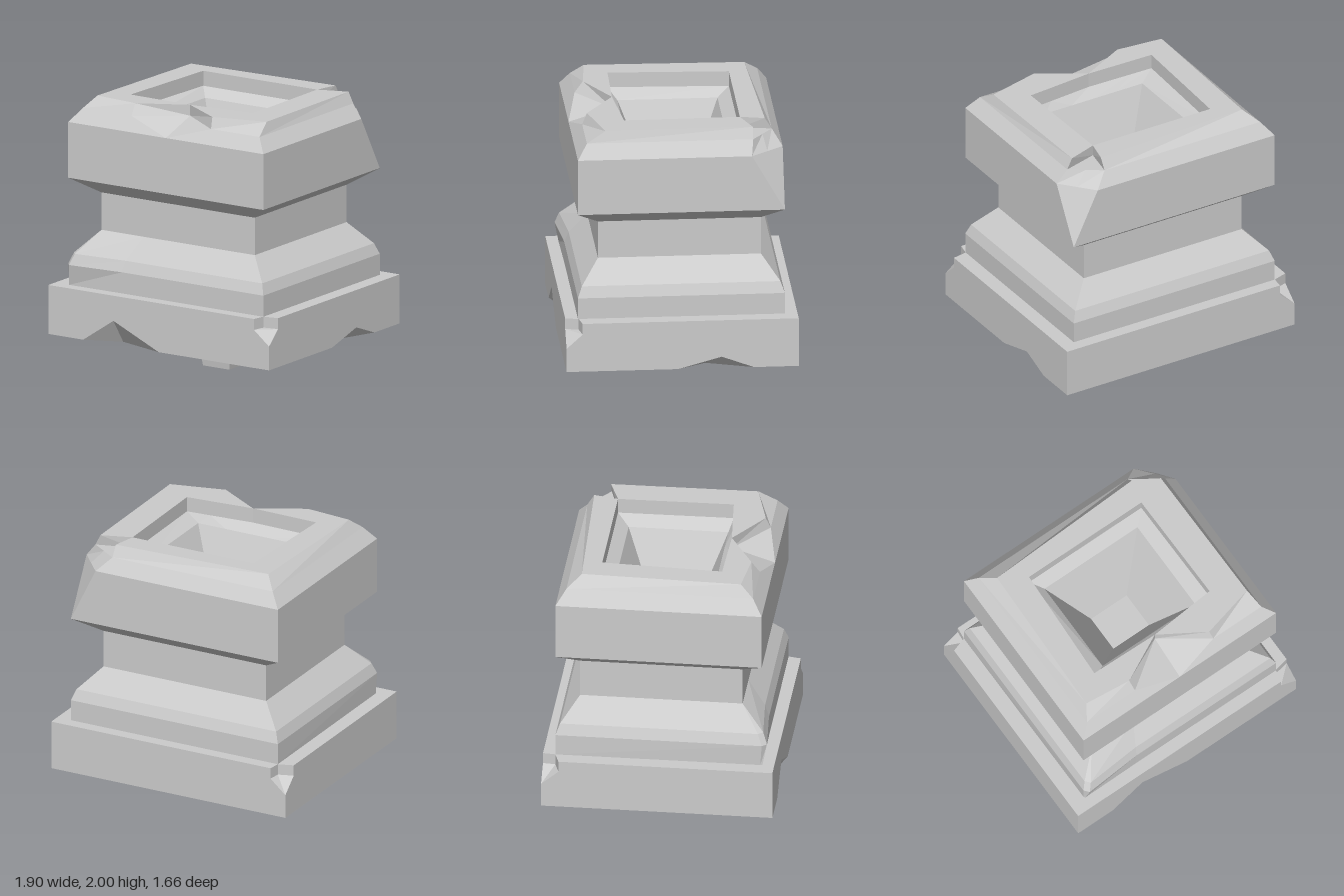
import * as THREE from 'three';

const material = new THREE.MeshStandardMaterial({ color: 0xcccccc, flatShading: true });

// Skins a stack of rings (anticlockwise from above); optional fans close the ends.
function loft(name, rings, capFirst, capLast) {
  const pos = [];
  const V = (p) => new THREE.Vector3(...p);
  const tri = (a, b, c) => {
    const area = V(b).sub(V(a)).cross(V(c).sub(V(a))).length();
    if (area > 1e-6) pos.push(...a, ...b, ...c);
  };
  const n = rings[0].length;
  for (let r = 0; r + 1 < rings.length; r++) {
    const a = rings[r], b = rings[r + 1];
    for (let i = 0; i < n; i++) {
      const j = (i + 1) % n;
      // the diagonal runs to the lower upper corner, which keeps chips sunken
      if (b[i][1] < b[j][1]) { tri(a[i], a[j], b[i]); tri(a[j], b[j], b[i]); }
      else { tri(a[i], a[j], b[j]); tri(a[i], b[j], b[i]); }
    }
  }
  const cap = (ring, up) => {
    const c = [0, ring[0][1], 0];
    ring.forEach((p, i) => {
      const q = ring[(i + 1) % n];
      if (up) tri(c, p, q); else tri(c, q, p);
    });
  };
  if (capFirst) cap(rings[0], false);
  if (capLast) cap(rings[rings.length - 1], true);
  const geometry = new THREE.BufferGeometry();
  geometry.setAttribute('position', new THREE.Float32BufferAttribute(pos, 3));
  geometry.computeVertexNormals();
  const mesh = new THREE.Mesh(geometry, material);
  mesh.name = name;
  return mesh;
}

// Copies a ring, replacing some of its points
const alter = (ring, changes) => ring.map((p, i) => changes[i] ?? p);

// Ten point rectangle: 0-1 front right corner, 2-4 front, 5 front left corner,
// 6-8 back left corner, 9 back right corner
const rect = (hx, hz, y) => [
  [-hx, y, hz], [-hx, y, hz], [-0.45 * hx, y, hz], [0, y, hz], [0.45 * hx, y, hz],
  [hx, y, hz], [hx, y, -hz], [hx, y, -hz], [hx, y, -hz], [-hx, y, -hz],
];

function makeBody() {
  const shoulder = alter(rect(0.84, 0.74, 1.82), {
    6: [0.84, 1.82, -0.505], 7: [0.74, 1.82, -0.6225], 8: [0.64, 1.82, -0.74],
  });
  const bevel = alter(rect(0.76, 0.67, 1.92), {
    3: [0, 1.82, 0.74],
    6: [0.76, 1.92, -0.52], 7: [0.65, 1.92, -0.595], 8: [0.54, 1.92, -0.67],
  });
  // Top edge, with the front chip and the back corner chip reaching inward
  const edge = [
    [-0.7, 2, 0.575], [-0.7, 2, 0.575], [-0.35, 2, 0.61], [0, 1.92, 0.43], [0.33, 2, 0.635],
    [0.73, 2, 0.535], [0.72, 2, -0.52], [0.5, 1.92, -0.445], [0.54, 2, -0.62], [-0.67, 2, -0.57],
  ];
  const rim = edge.map(([x, , z]) => [x, 2, z]);
  const opening = (y) => [
    [-0.52, y, 0.42], [-0.52, y, 0.42], [-0.35, y, 0.423], [0, y, 0.43], [0.33, y, 0.4],
    [0.51, y, 0.385], [0.5, y, -0.43], [0.5, y, -0.445], [0.49, y, -0.445], [-0.48, y, -0.445],
  ];
  return loft('body', [
    alter(rect(0.84, 0.74, 0.625), { 0: [-0.835, 0.625, 0.73], 1: [-0.83, 0.625, 0.745] }),
    alter(rect(0.84, 0.74, 0.78), { 1: [-0.81, 0.78, 0.775] }),
    alter(rect(0.81, 0.71, 0.86), { 1: [-0.78, 0.86, 0.745] }),
    rect(0.66, 0.583, 1.02),
    rect(0.66, 0.583, 1.295),
    rect(0.84, 0.74, 1.41),
    shoulder, bevel, edge, rim,
    // socket
    opening(2), opening(1.89), rect(0.405, 0.358, 1.83), rect(0.155, 0.138, 1.3),
  ], false, true);
}

function makeBase() {
  const X = 0.95, Z = 0.83;
  // Square ring: 1-3 front notch, 4-6 front left corner, 7-9 side notch, 11-13 back right corner
  const block = (y) => [
    [-X, y, Z], [-0.65, y, Z], [-0.39, y, Z], [0, y, Z],
    [X, y, Z], [X, y, Z], [X, y, Z],
    [X, y, 0.03], [X, y, -0.28], [X, y, -0.51], [X, y, -Z],
    [-X, y, -Z], [-X, y, -Z], [-X, y, -Z],
  ];
  const chipped = (y) => alter(block(y), {
    4: [0.82, y, Z], 5: [0.84, y, 0.735], 6: [X, y, 0.715],
    11: [-0.83, y, -Z], 12: [-0.84, y, -0.74], 13: [-X, y, -0.705],
  });
  return loft('plinth', [
    alter(block(0.265), { 2: [-0.38, 0.265, 0.72], 8: [0.83, 0.265, -0.17] }),
    alter(block(0.265), { 2: [-0.39, 0.44, Z], 8: [X, 0.35, -0.28] }),
    block(0.44),
    alter(chipped(0.545), { 5: [0.885, 0.545, 0.7725] }),
    chipped(0.545),
    chipped(0.625),
  ], true, true);
}

export function createModel() {
  const group = new THREE.Group();
  group.name = 'pedestal';
  group.add(makeBase(), makeBody());
  // Tapered peg under the plinth
  group.add(loft('peg', [rect(0.113, 0.1, 0), rect(0.153, 0.136, 0.266)], true, false));
  return group;
}
